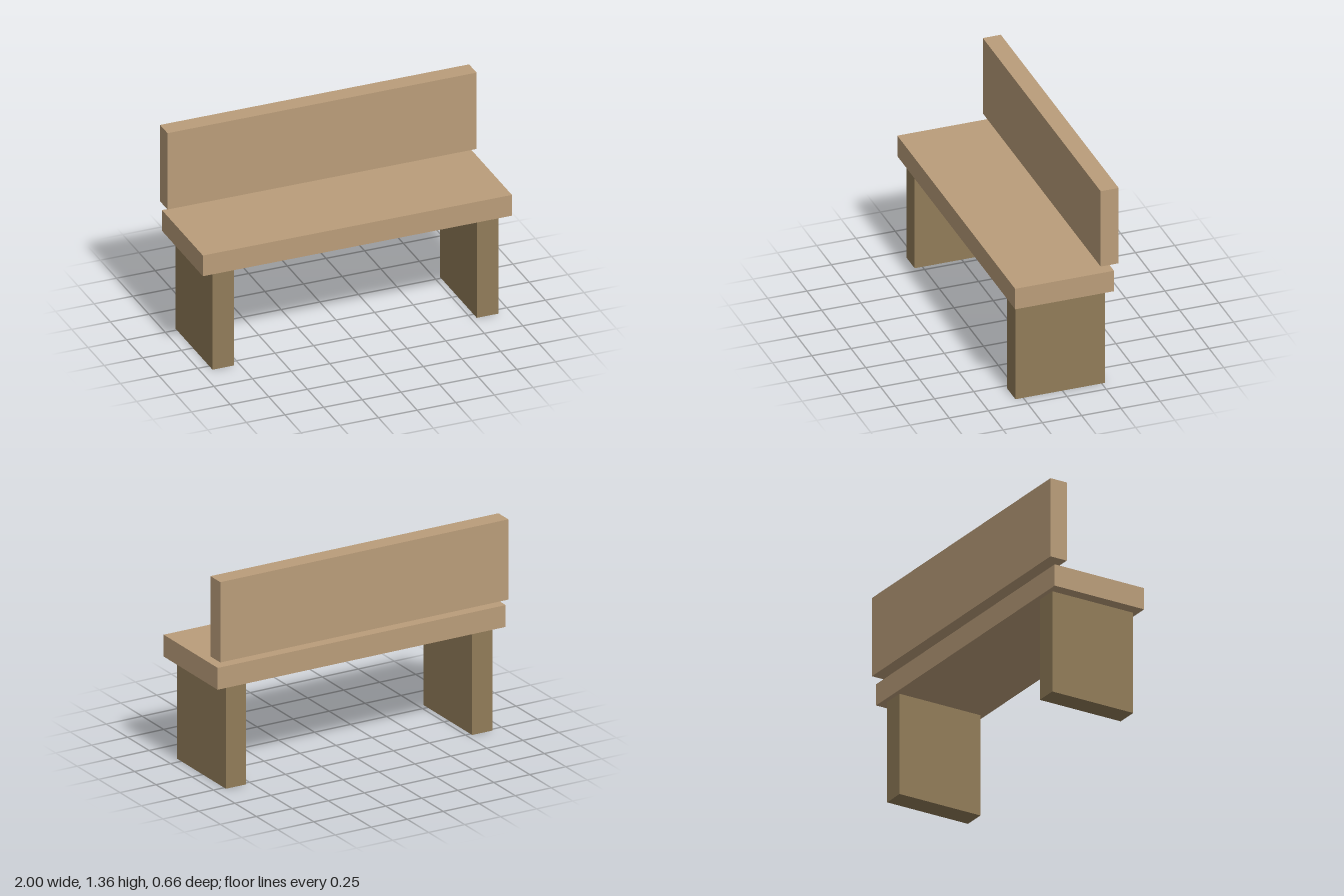
import * as THREE from 'three';

export function createModel() {
  const bench = new THREE.Group();
  bench.name = 'bench';

  const plankWood = new THREE.MeshStandardMaterial({ color: 0xba9d7a });
  plankWood.name = 'plank wood';
  const legWood = new THREE.MeshStandardMaterial({ color: 0x917c59 });
  legWood.name = 'leg wood';

  // Box spanning the given [min, max] ranges
  function slab(name, material, [x0, x1], [y0, y1], [z0, z1]) {
    const mesh = new THREE.Mesh(new THREE.BoxGeometry(x1 - x0, y1 - y0, z1 - z0), material);
    mesh.position.set((x0 + x1) / 2, (y0 + y1) / 2, (z0 + z1) / 2);
    mesh.name = name;
    bench.add(mesh);
    return mesh;
  }

  // Seat and floating backrest
  slab('seat', plankWood, [-1, 1], [0.66, 0.8], [-0.3, 0.33]);
  slab('backrest', plankWood, [-1, 1], [0.845, 1.36], [-0.33, -0.215]);

  // Slab legs, mirrored
  for (const [name, side] of [['leftLeg', 1], ['rightLeg', -1]]) {
    const leg = slab(name, legWood, [0.785, 0.925], [0, 0.66], [-0.27, 0.3]);
    leg.position.x *= side;
  }

  return bench;
}
